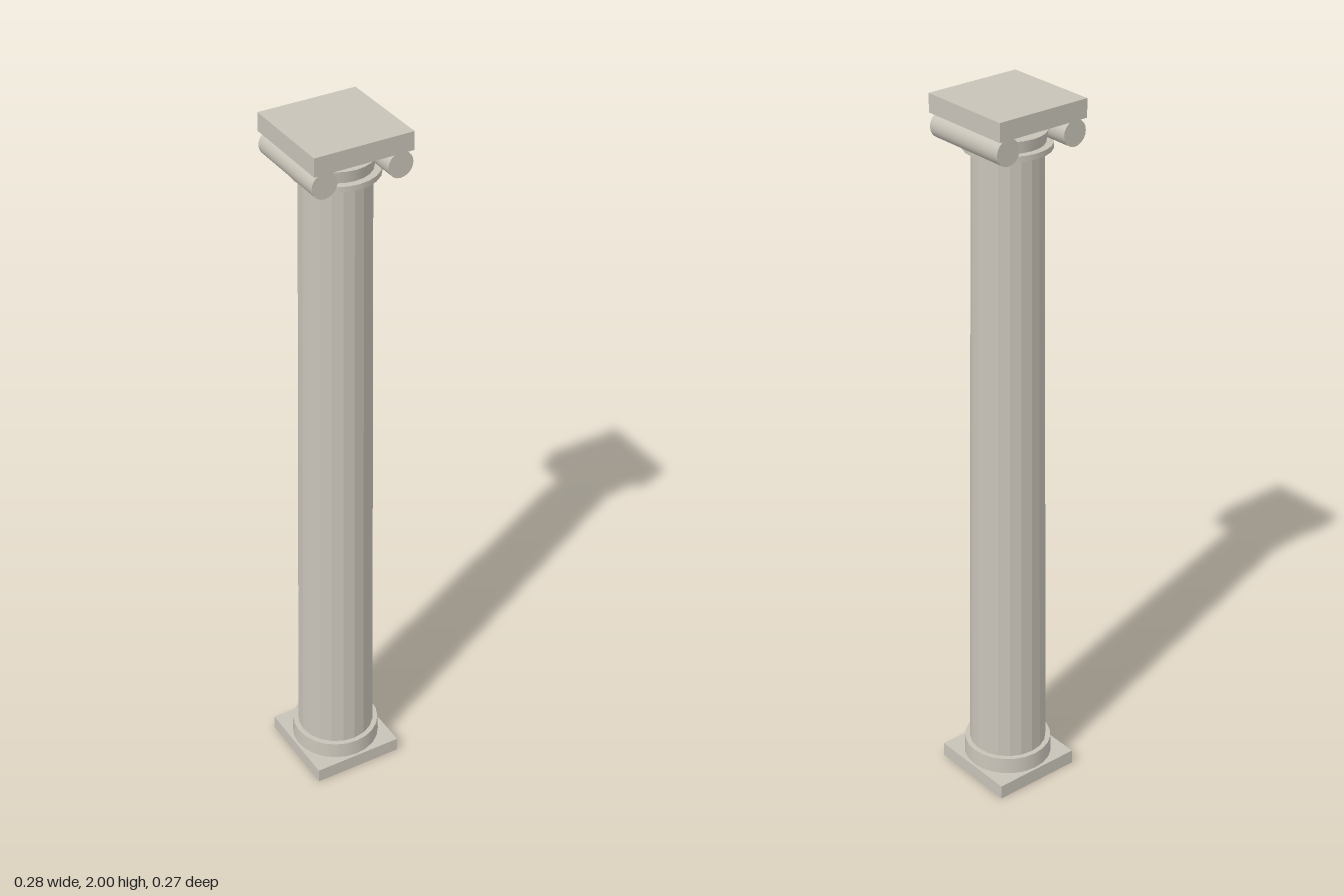
import * as THREE from 'three';

export function createModel() {
  const model = new THREE.Group();
  model.name = 'column';
  const stone = new THREE.MeshStandardMaterial({ color: 0xc8c3b8 });
  stone.name = 'pale stone';
  const facetedStone = stone;

  function add(name, geometry, x, y, z, material = stone) {
    const mesh = new THREE.Mesh(geometry, material);
    mesh.name = name;
    mesh.position.set(x, y, z);
    model.add(mesh);
    return mesh;
  }
  // Upright round drum between two heights
  function drum(name, rBottom, rTop, y0, y1, sides) {
    return add(name, new THREE.CylinderGeometry(rTop, rBottom, y1 - y0, sides), 0, (y0 + y1) / 2, 0);
  }
  // Square slab between two heights
  function slab(name, width, y0, y1) {
    return add(name, new THREE.BoxGeometry(width, y1 - y0, width), 0, (y0 + y1) / 2, 0);
  }

  // Foot
  slab('plinth', 0.262, 0, 0.042);
  drum('baseRing', 0.124, 0.122, 0.042, 0.09, 24);

  // Tapering shaft with flat facets
  const shaft = drum('shaft', 0.108, 0.092, 0.09, 1.87, 20);
  shaft.geometry = shaft.geometry.toNonIndexed();
  shaft.geometry.computeVertexNormals();

  // Capital
  drum('neckRing', 0.114, 0.114, 1.87, 1.885, 24);
  drum('echinus', 0.095, 0.1, 1.885, 1.917, 24);
  for (const side of [-1, 1]) {
    const name = side > 0 ? 'leftVolute' : 'rightVolute';
    const roll = add(name, new THREE.CylinderGeometry(0.035, 0.035, 0.26, 20), side * 0.105, 1.916, 0);
    roll.rotation.x = Math.PI / 2;
  }
  slab('abacus', 0.274, 1.95, 2);

  return model;
}
